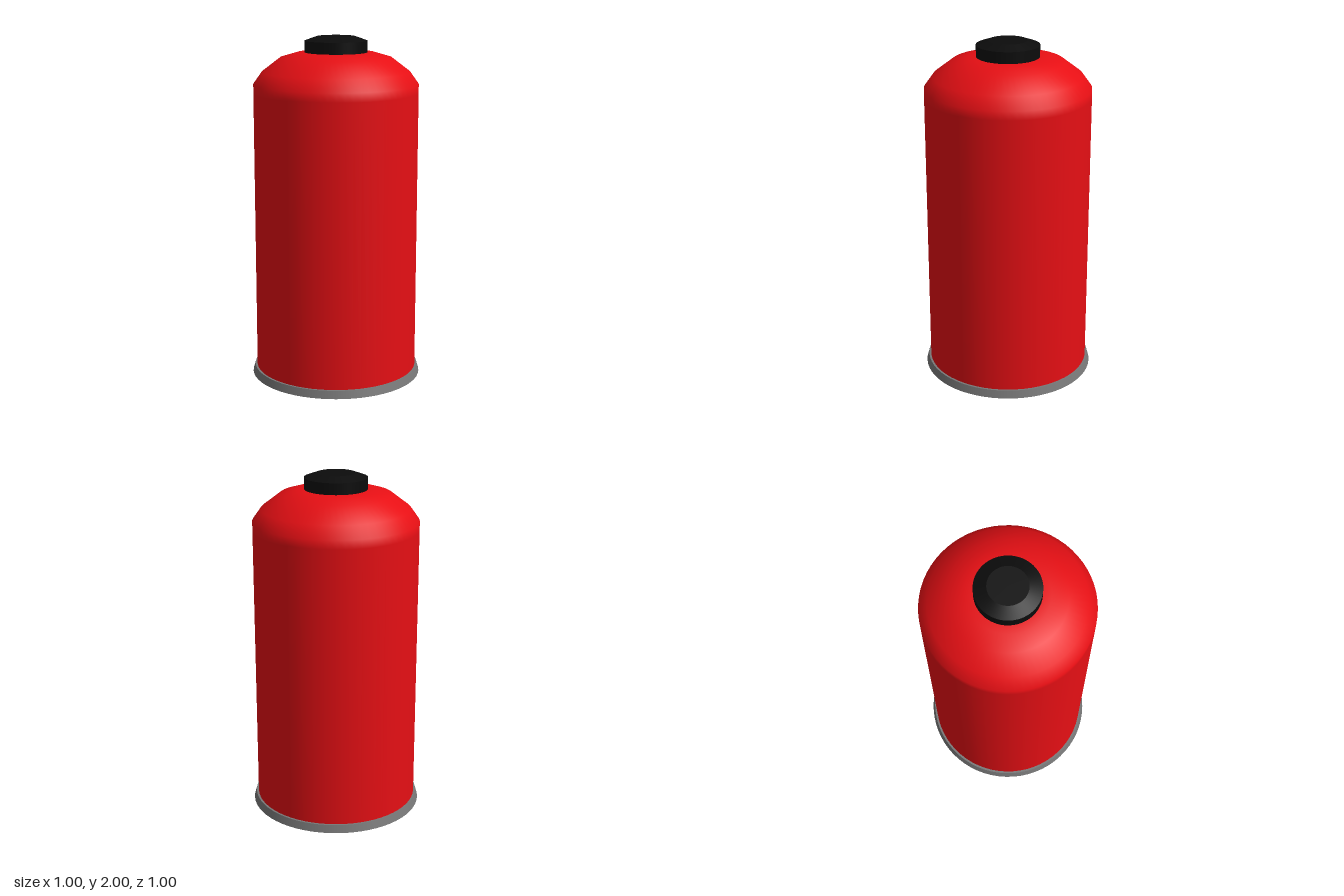
import * as THREE from 'three';

const SIDES = 64;

// Revolves each [radius, y] run on its own, so edges between runs stay sharp
function turned(name, color, runs) {
  const group = new THREE.Group();
  group.name = name;
  const material = new THREE.MeshStandardMaterial({ color, side: THREE.DoubleSide });
  runs.forEach((run, i) => {
    const points = run.map(([r, y]) => new THREE.Vector2(r, y));
    const mesh = new THREE.Mesh(new THREE.LatheGeometry(points, SIDES), material);
    mesh.name = `${name}Surface${i + 1}`;
    group.add(mesh);
  });
  return group;
}

export function createModel() {
  const model = new THREE.Group();
  model.name = 'gasCanister';

  // Flared rim with a flat underside and a narrow ledge on top
  model.add(turned('baseRim', 0x777777, [
    [[0, 0], [0.5, 0]],
    [[0.5, 0], [0.487, 0.045]],
    [[0.487, 0.045], [0.47, 0.045]],
  ]));

  // Straight wall running into a rounded shoulder
  model.add(turned('body', 0xe60f14, [
    [[0.475, 0.04], [0.475, 1.68], [0.475, 1.73], [0.425, 1.8], [0.32, 1.88], [0.225, 1.908], [0.16, 1.91]],
  ]));

  // Valve cap with a shallow sloped top
  model.add(turned('valveCap', 0x0c0c0c, [
    [[0.18, 1.905], [0.18, 1.975]],
    [[0.18, 1.975], [0.11, 2]],
    [[0.11, 2], [0, 2]],
  ]));

  return model;
}
